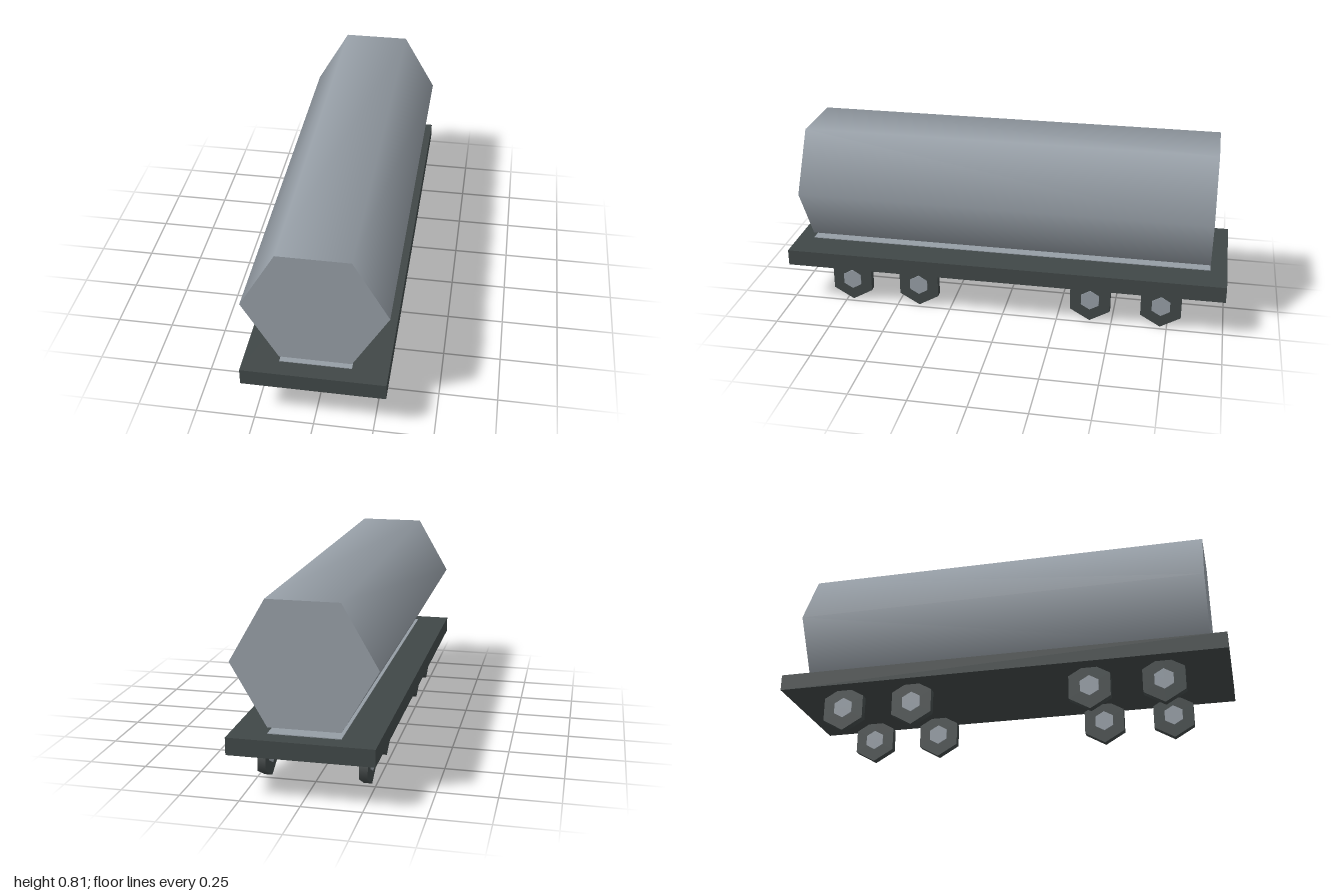
import * as THREE from 'three';

export function createModel() {
  const steel = new THREE.MeshStandardMaterial({ color: 0x959da5 });
  steel.name = 'steel grey';
  const dark = new THREE.MeshStandardMaterial({ color: 0x404747 });
  dark.name = 'dark grey';

  const model = new THREE.Group();
  model.name = 'tankWagon';

  const add = (name, geometry, material, x, y, z, parent = model) => {
    const mesh = new THREE.Mesh(geometry, material);
    mesh.name = name;
    mesh.position.set(x, y, z);
    parent.add(mesh);
    return mesh;
  };

  // Six-sided drum with smooth sides, turned so a corner points off its axis
  const drum = (radius, length) =>
    new THREE.CylinderGeometry(radius, radius, length, 6).rotateY(Math.PI / 6);

  // Flat deck, and the thin plate that lies under the tank
  add('deck', new THREE.BoxGeometry(0.6, 0.073, 2), dark, 0, 0.2265, 0);
  add('tankPlate', new THREE.BoxGeometry(0.3, 0.004, 1.85), steel, 0, 0.264, 0);

  // Tank lying along z
  add('tank', drum(0.3, 1.85).rotateX(Math.PI / 2), steel, 0, 0.55, 0);

  // Four pairs of wheels with hubs showing on both sides
  const tyre = drum(0.105, 0.035).rotateZ(Math.PI / 2);
  const hub = drum(0.047, 0.045).rotateZ(Math.PI / 2);
  for (const z of [0.72, 0.4, -0.4, -0.72]) {
    for (const side of [-1, 1]) {
      const wheel = new THREE.Group();
      wheel.name = 'wheel';
      wheel.position.set(side * 0.213, 0.105, z);
      add('tyre', tyre, dark, 0, 0, 0, wheel);
      add('hub', hub, steel, 0, 0, 0, wheel);
      model.add(wheel);
    }
  }
  return model;
}
